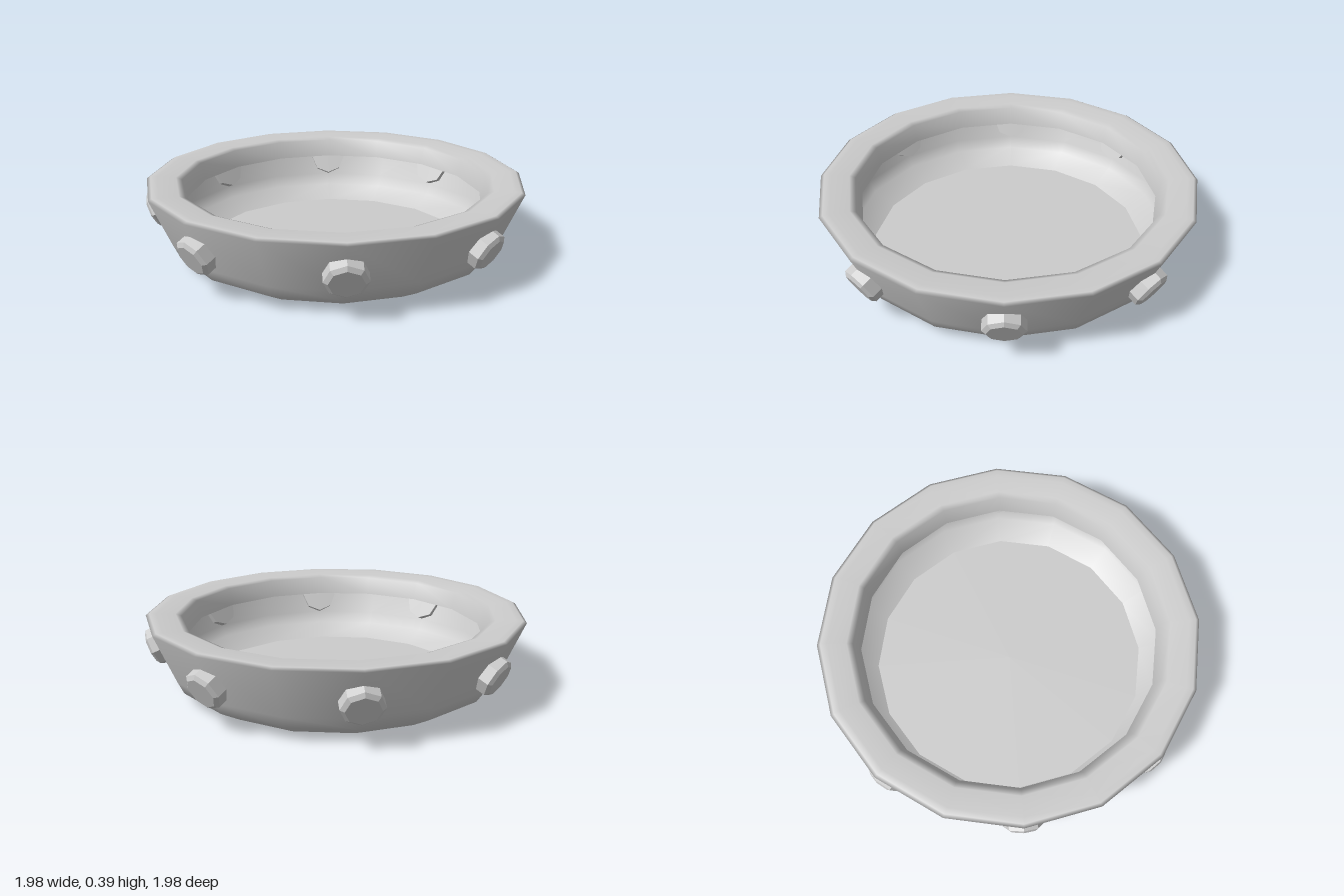
import * as THREE from 'three';

const SIDES = 16;
const STUDS = 8;
const profile = (pairs) => pairs.map(([r, y]) => new THREE.Vector2(r, y));

export function createModel() {
  const model = new THREE.Group();
  const shell = new THREE.MeshStandardMaterial({ color: 0xcccccc, side: THREE.DoubleSide });
  const faceted = new THREE.MeshStandardMaterial({ color: 0xcccccc, flatShading: true });

  // Thin wall: chamfered foot, flared side, broad rim and hanging inner lip
  const wall = new THREE.Mesh(new THREE.LatheGeometry(profile([
    [0.73, 0], [0.845, 0.068], [0.875, 0.13], [0.98, 0.38],
    [0.962, 0.39], [0.93, 0.388], [0.83, 0.382], [0.8, 0.37], [0.775, 0.275],
  ]), SIDES), shell);
  wall.name = 'bowlWall';
  model.add(wall);

  // Flat floor, turned so its corners meet the wall
  const floor = new THREE.Mesh(new THREE.CircleGeometry(0.73, SIDES), shell);
  floor.rotation.x = Math.PI / 2;
  floor.name = 'floor';
  model.add(floor);

  // Bevelled studs set through the wall, square to its slope
  const studShape = new THREE.LatheGeometry(profile([
    [0, -0.04], [0.1, -0.04], [0.1, 0.035], [0.08, 0.05], [0, 0.05],
  ]), 8);
  studShape.rotateX(Math.PI / 2 + 0.42);
  studShape.translate(0, 0.222, 0.913);
  for (let i = 0; i < STUDS; i++) {
    const stud = new THREE.Mesh(studShape, faceted);
    stud.rotation.y = (i / STUDS) * Math.PI * 2;
    stud.name = 'stud' + (i + 1);
    model.add(stud);
  }
  return model;
}
